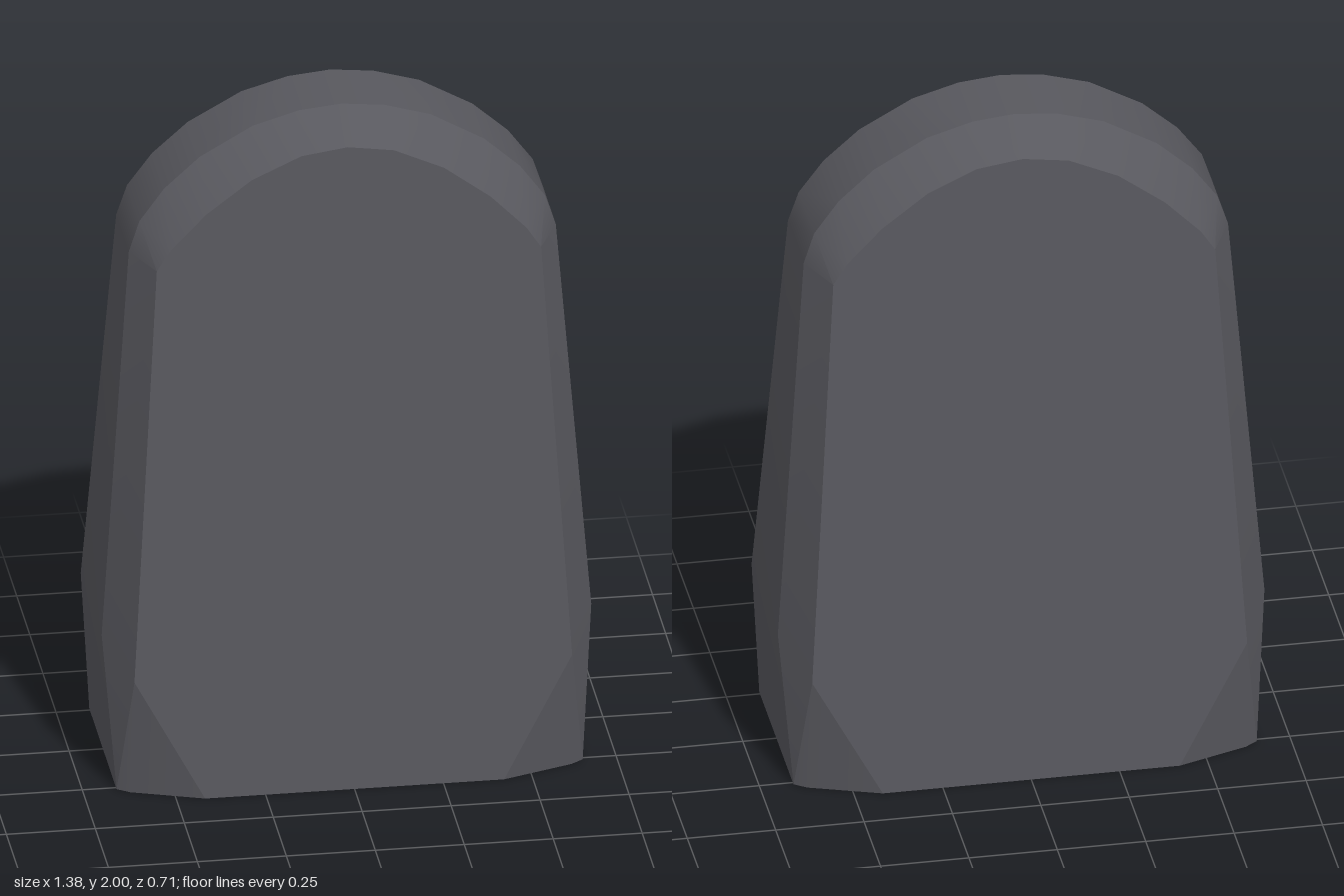
import * as THREE from 'three';
import { ConvexGeometry } from 'three/addons/geometries/ConvexGeometry.js';
import { toCreasedNormals } from 'three/addons/utils/BufferGeometryUtils.js';

// half of the outer rim: x, y and half thickness
const RIM = [
  [0.655, 0, 0.26], [0.62, 0, 0.285], [0.688, 0.45, 0.2], [0.6, 1.59, 0.12],
  [0.57, 1.68, 0.117], [0.5, 1.775, 0.115], [0.4, 1.865, 0.113],
  [0.25, 1.95, 0.111], [0.12, 1.988, 0.11], [0, 2, 0.11],
];

// half of the flat face outline: x, y (the face leans inward with height)
const FACE = [
  [0.42, 0], [0.615, 0.36], [0.54, 1.585], [0.5, 1.645], [0.4, 1.745],
  [0.27, 1.84], [0.13, 1.902], [0, 1.92],
];
const faceDepth = (y) => 0.355 - 0.068 * y;

export function createModel() {
  const group = new THREE.Group();
  group.name = 'roundedSlab';

  const darkGrey = new THREE.MeshStandardMaterial({ color: 0x58585e });
  darkGrey.name = 'darkGrey';

  // mirror the outlines left to right and front to back
  const points = [];
  const outline = [...RIM, ...FACE.map(([x, y]) => [x, y, faceDepth(y)])];
  for (const [x, y, z] of outline) {
    for (const sx of x > 0 ? [1, -1] : [1]) {
      for (const sz of [1, -1]) points.push(new THREE.Vector3(sx * x, y, sz * z));
    }
  }

  // tapered body with bevelled rim and cut bottom corners
  const body = new THREE.Mesh(toCreasedNormals(new ConvexGeometry(points), 0.33), darkGrey);
  body.name = 'body';
  group.add(body);
  return group;
}
